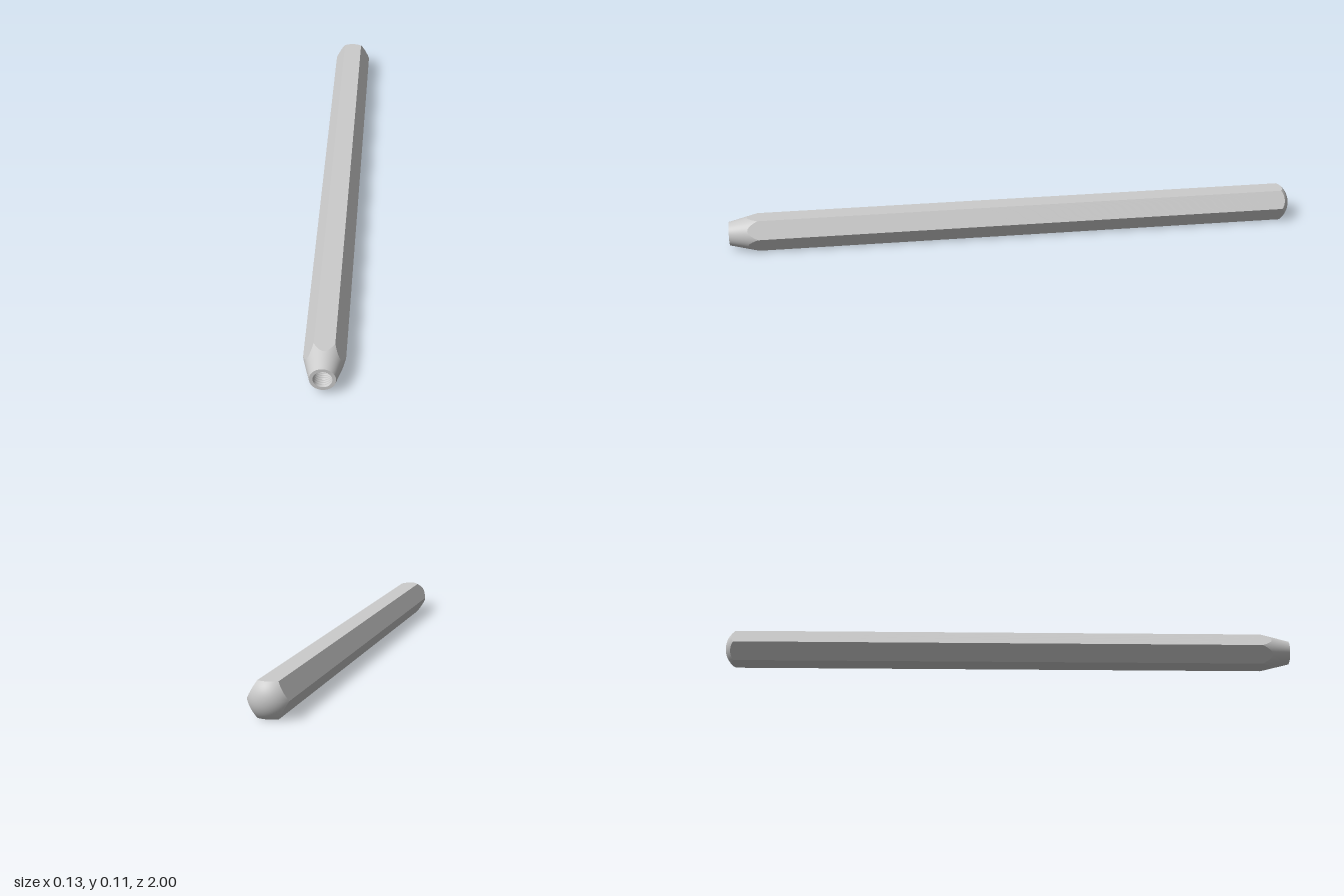
import * as THREE from 'three';
import { toCreasedNormals } from 'three/addons/utils/BufferGeometryUtils.js';

const SEGMENTS = 96;
const APOTHEM = 0.057;
const CORNER = APOTHEM / Math.cos(Math.PI / 6);
const NOSE_R = 0.041, NOSE_SLOPE = 0.1 / (CORNER - NOSE_R);
const SAG = 0.035;
const DOME_R = (CORNER * CORNER + SAG * SAG) / (2 * SAG);
const BORE_R = 0.03, ROOT_R = 0.0275, BORE_END = 0.88, PITCH = 0.01;

// Distance from the axis to the hexagon's outline, with corners on the x axis
function hexRadius(angle) {
  const third = Math.PI / 3;
  const a = ((angle % third) + third) % third;
  return APOTHEM / Math.cos(a - third / 2);
}
const noseZ = (r) => 1 - (r - NOSE_R) * NOSE_SLOPE;
const domeZ = (r) => -1 + DOME_R - Math.sqrt(DOME_R * DOME_R - r * r);

// Sweep a profile of [radius, z] points, which may vary with angle, around z
function sweep(name, profile, crease = 0.5) {
  const pos = [], index = [];
  let rows = 0;
  for (let j = 0; j < SEGMENTS; j++) {
    const angle = (j / SEGMENTS) * Math.PI * 2;
    const points = profile(angle);
    rows = points.length;
    for (const [r, z] of points) pos.push(r * Math.cos(angle), r * Math.sin(angle), z);
  }
  for (let j = 0; j < SEGMENTS; j++) {
    const k = (j + 1) % SEGMENTS;
    for (let i = 0; i < rows - 1; i++) {
      const a = j * rows + i, b = a + 1, c = k * rows + i, d = c + 1;
      if (pos[a * 3] !== pos[c * 3] || pos[a * 3 + 1] !== pos[c * 3 + 1]) index.push(a, b, c);
      if (pos[b * 3] !== pos[d * 3] || pos[b * 3 + 1] !== pos[d * 3 + 1]) index.push(b, d, c);
    }
  }
  let geometry = new THREE.BufferGeometry();
  geometry.setAttribute('position', new THREE.Float32BufferAttribute(pos, 3));
  geometry.setIndex(index);
  // Enlarged while creasing so that close vertices stay distinct
  geometry.scale(100, 100, 100);
  geometry = toCreasedNormals(geometry, crease);
  geometry.scale(0.01, 0.01, 0.01);
  const mesh = new THREE.Mesh(geometry, new THREE.MeshStandardMaterial({ color: 0xcccccc }));
  mesh.name = name;
  return mesh;
}

const steps = (n, f) => Array.from({ length: n + 1 }, (_, i) => f(i / n));

export function createModel() {
  const group = new THREE.Group();
  group.name = 'hexagonalBarrel';

  // Hexagonal shaft, trimmed by the nose cone and the rear dome
  group.add(sweep('shaft', (a) => {
    const r = hexRadius(a);
    return [[r, noseZ(r)], [r, domeZ(r)]];
  }));

  // Tapered round nose
  group.add(sweep('nose', (a) => steps(4, (t) => {
    const r = THREE.MathUtils.lerp(NOSE_R, hexRadius(a), t);
    return [r, noseZ(r)];
  })));

  // Rounded rear end
  group.add(sweep('rearDome', (a) => steps(12, (t) => {
    const r = hexRadius(a) * (1 - t);
    return [r, domeZ(r)];
  })));

  // Flat rim round the opening
  group.add(sweep('noseRim', () => [[BORE_R, 1], [NOSE_R, 1]]));

  // Threaded bore: a helical ridge that fades out at both ends
  group.add(sweep('threadedBore', (a) => steps(48, (t) => {
    const z = THREE.MathUtils.lerp(BORE_END, 1, t);
    const turn = z / PITCH + a / (Math.PI * 2);
    const ridge = Math.abs(2 * (turn - Math.floor(turn)) - 1);
    const fade = Math.min(1, (1 - t) * 12);
    const base = Math.min(1, t * 12);
    const depth = (1 - base) + base * ridge;
    return [BORE_R - (BORE_R - ROOT_R) * depth * fade, z];
  }), 0.8));

  // Conical floor of the bore
  group.add(sweep('boreFloor', () => [[0, BORE_END - 0.016], [ROOT_R, BORE_END]]));

  group.children.forEach((mesh) => { mesh.position.y = APOTHEM; });
  return group;
}
